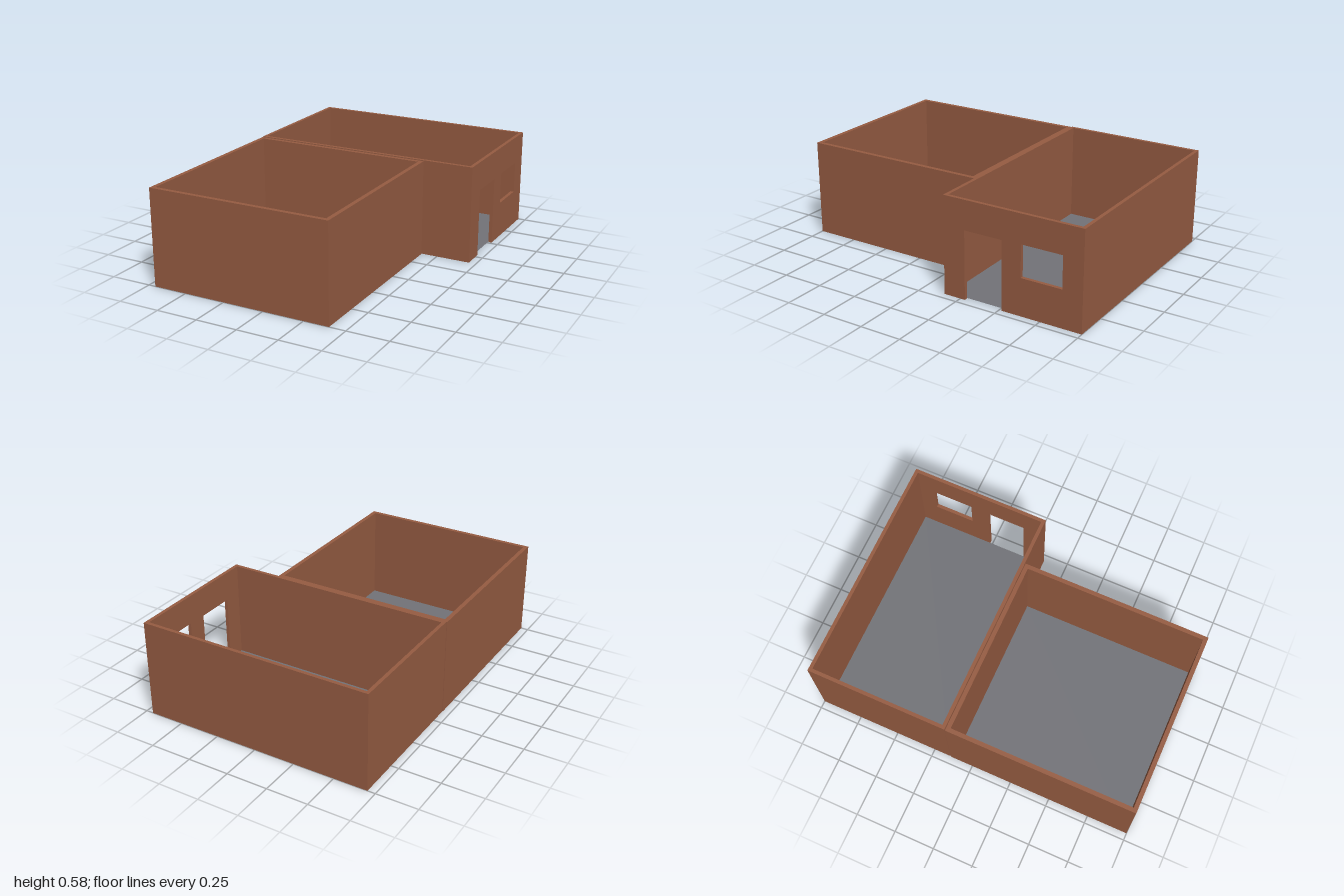
import * as THREE from 'three';

const brick = new THREE.MeshStandardMaterial({ color: 0x965c42 });
brick.name = 'brick brown';
const slab = new THREE.MeshStandardMaterial({ color: 0x727378, side: THREE.DoubleSide });
slab.name = 'floor grey';

const points = (list) => list.map(([x, y]) => new THREE.Vector2(x, y));
const rect = (x0, x1, y0, y1) => points([[x0, y0], [x1, y0], [x1, y1], [x0, y1]]);

function add(group, name, geometry, material) {
  const mesh = new THREE.Mesh(geometry, material);
  mesh.name = name;
  group.add(mesh);
}

// Raises a plan outline, given in x and -z, to the wall height.
function raise(shape, height) {
  return new THREE.ExtrudeGeometry(shape, { depth: height, bevelEnabled: false }).rotateX(-Math.PI / 2);
}

// Thin floor sheet lying just inside the foot of the walls.
function floorSheet(x0, x1, z0, z1) {
  return new THREE.PlaneGeometry(x1 - x0, z1 - z0)
    .rotateX(-Math.PI / 2)
    .translate((x0 + x1) / 2, 0.003, (z0 + z1) / 2);
}

export function createModel() {
  const model = new THREE.Group();
  model.name = 'roofless two-room house';

  // Front room: closed ring of walls
  const front = new THREE.Group();
  front.name = 'frontRoom';
  const ring = new THREE.Shape(rect(-0.706, 0.402, -1, 0.142));
  ring.holes.push(new THREE.Path(rect(-0.681, 0.377, -0.975, 0.117)));
  add(front, 'frontRoomWalls', raise(ring, 0.581), brick);
  add(front, 'frontRoomFloor', floorSheet(-0.681, 0.377, -0.117, 0.975), slab);

  // Back room: three plain walls in a U
  const back = new THREE.Group();
  back.name = 'backRoom';
  const height = 0.585, x0 = -0.704, x1 = 0.706, n = 0.146, f = 1, t = 0.021;
  const u = new THREE.Shape(points([
    [x0, n], [x1 - t, n], [x1 - t, n + t], [x0 + t, n + t],
    [x0 + t, f - t], [x1 - t, f - t], [x1 - t, f], [x0, f],
  ]));
  add(back, 'backRoomWalls', raise(u, height), brick);

  // Entrance wall with a doorway notch and a window hole, drawn in -z and y
  const entrance = new THREE.Shape(points([
    [n, 0], [0.28, 0], [0.28, 0.41], [0.515, 0.41], [0.515, 0], [f, 0], [f, height], [n, height],
  ]));
  entrance.holes.push(new THREE.Path(rect(0.632, 0.88, 0.223, 0.414)));
  const wall = new THREE.ExtrudeGeometry(entrance, { depth: t, bevelEnabled: false })
    .rotateY(Math.PI / 2)
    .translate(x1 - t, 0, 0);
  add(back, 'entranceWall', wall, brick);
  add(back, 'backRoomFloor', floorSheet(x0 + t, x1 - t, -f + t, -n - t), slab);

  model.add(front, back);
  return model;
}
